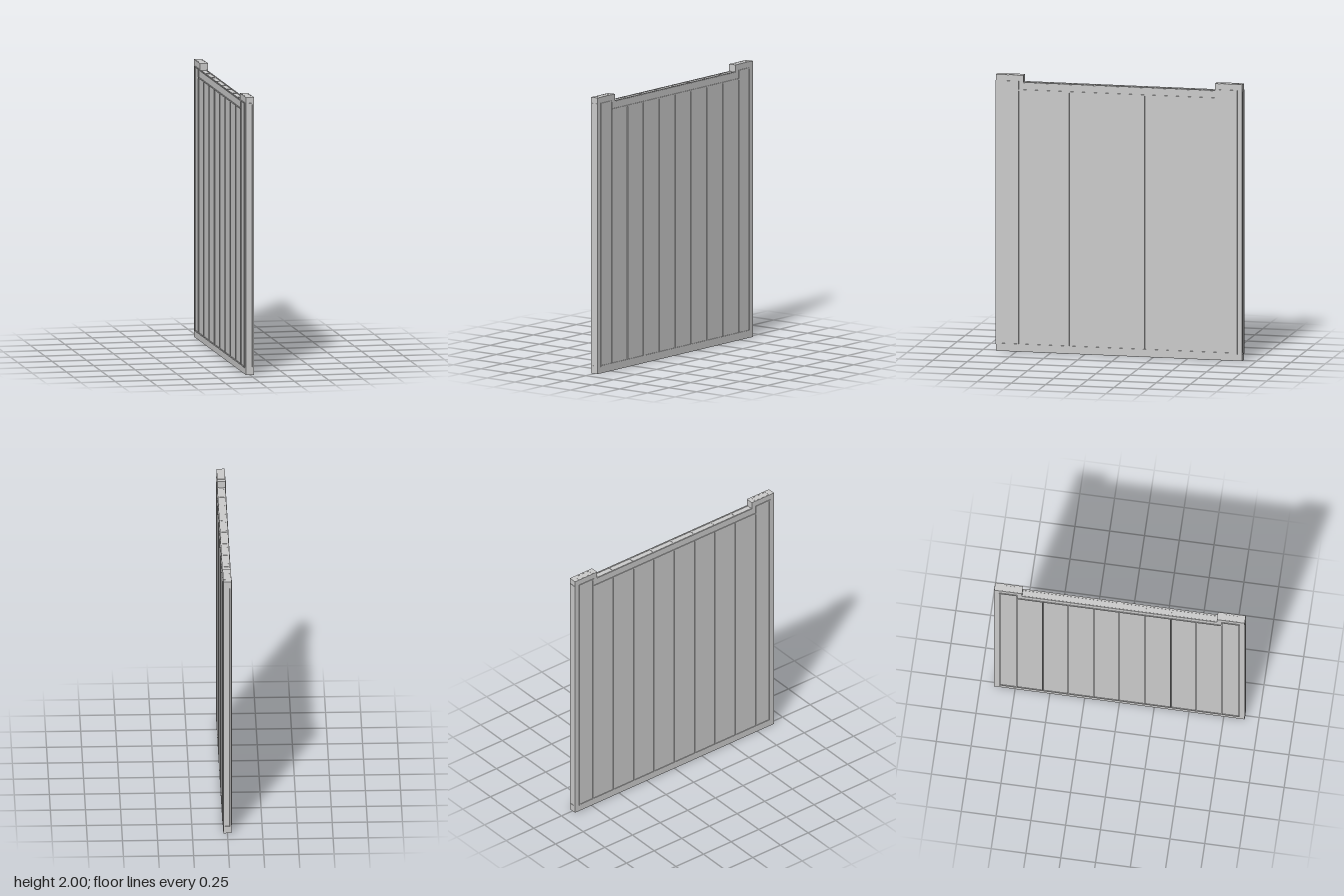
import * as THREE from 'three';

export function createModel() {
  const model = new THREE.Group();
  const mat = new THREE.MeshStandardMaterial({ color: 0xcccccc, flatShading: true });
  const half = 0.029;   // half thickness of the slab
  const w = 0.009;      // strip width
  const lift = 0.005;   // how far strips stand proud

  // Slab: rectangle with a corner post standing above each end
  const outline = new THREE.Shape([
    [-0.9, 0], [0.9, 0], [0.9, 2], [0.7, 2], [0.7, 1.947],
    [-0.7, 1.947], [-0.7, 2], [-0.9, 2],
  ].map(([a, b]) => new THREE.Vector2(a, b)));
  const slabGeo = new THREE.ExtrudeGeometry(outline, { depth: 2 * half, bevelEnabled: false });
  slabGeo.translate(0, 0, -half).rotateY(-Math.PI / 2);
  const slab = new THREE.Mesh(slabGeo, mat);
  slab.name = 'wallSlab';
  model.add(slab);

  const strip = (name, size, pos) => {
    const mesh = new THREE.Mesh(new THREE.BoxGeometry(...size), mat);
    mesh.position.set(...pos);
    mesh.name = name;
    model.add(mesh);
  };

  const low = 0.052, railTop = 1.893, postTop = 1.953;
  const seams = [0, 0.184, 0.368, 0.552];
  const inner = 0.737, outer = 0.86, edge = 0.021;

  for (const s of [-1, 1]) {
    // Plank seams and borders on the two broad faces
    const x = s * half;
    const upright = (z, top) =>
      strip('plankSeam', [2 * lift, top - low, w], [x, (top + low) / 2, z]);
    for (const z of seams) {
      upright(z, railTop);
      if (z) upright(-z, railTop);
    }
    for (const m of [-1, 1]) {
      upright(m * inner, postTop);
      upright(m * outer, postTop);
      strip('postBorder', [2 * lift, w, outer - inner + w], [x, postTop, m * (inner + outer) / 2]);
    }
    strip('bottomBorder', [2 * lift, w, 2 * outer + w], [x, low, 0]);
    strip('topBorder', [2 * lift, w, 2 * inner], [x, railTop, 0]);

    // Frame on each narrow end
    const z = s * 0.9;
    for (const m of [-1, 1])
      strip('endBorder', [w, postTop - low, 0.006], [m * edge, (postTop + low) / 2, z]);
    for (const y of [low, postTop])
      strip('endBorder', [2 * edge + w, w, 0.006], [0, y, z]);

    // Frame on each post top
    for (const m of [-1, 1])
      strip('postTopBorder', [w, 0.004, outer - inner + w], [m * edge, 1.999, s * (inner + outer) / 2]);
    for (const d of [inner, outer])
      strip('postTopBorder', [2 * edge + w, 0.004, w], [0, 1.999, s * d]);

    // Long borders and cross seams on the lower top edge
    strip('topEdgeBorder', [w, 0.006, 1.4], [s * edge, 1.947, 0]);
    for (const d of seams)
      if (d || s > 0) strip('topEdgeSeam', [2 * edge + w, 0.006, w], [0, 1.947, s * d]);
  }

  return model;
}
